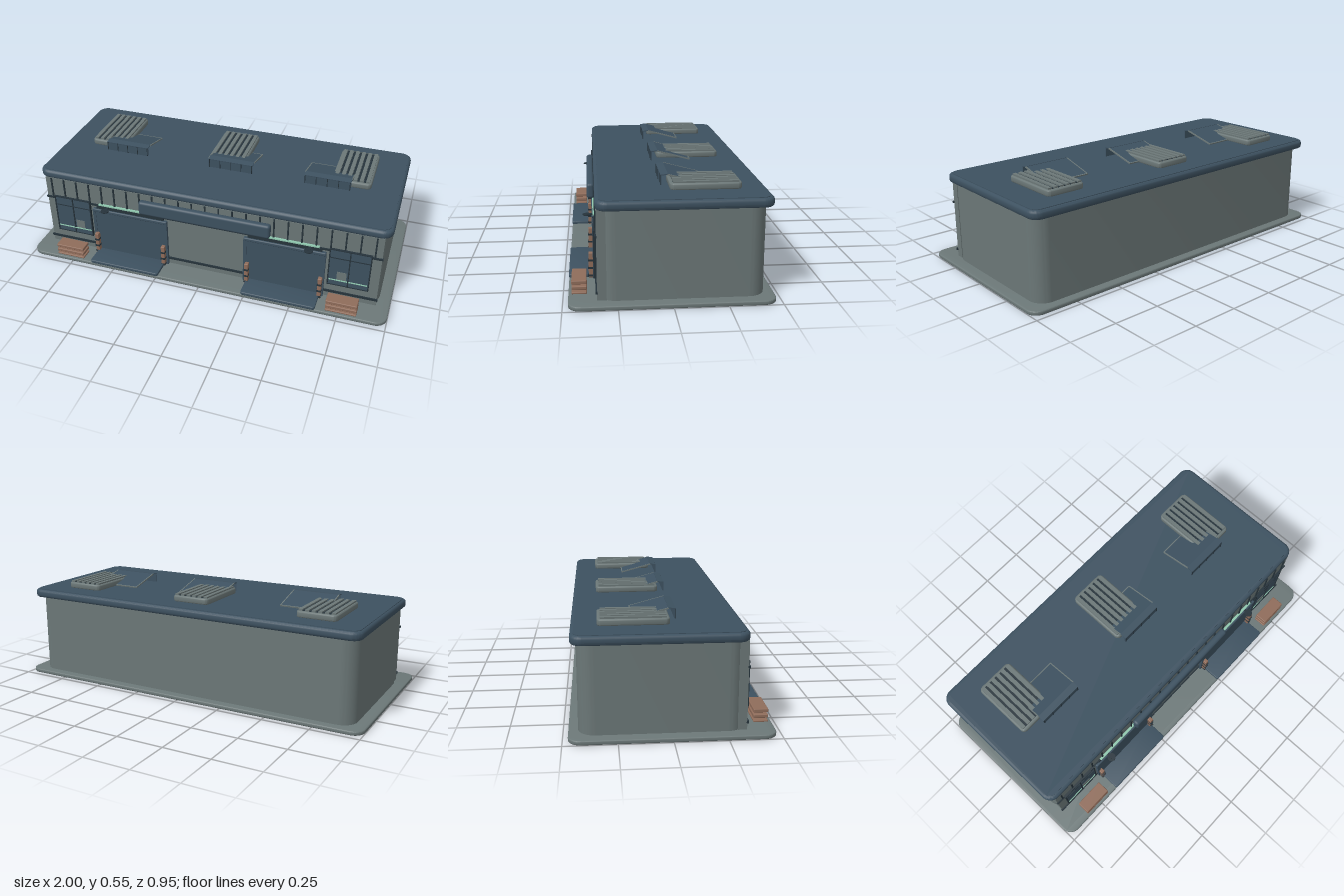
import * as THREE from 'three';
import { RoundedBoxGeometry } from 'three/addons/geometries/RoundedBoxGeometry.js';
import { toCreasedNormals } from 'three/addons/utils/BufferGeometryUtils.js';

const paint = (name, color, side = THREE.FrontSide) => {
  const m = new THREE.MeshStandardMaterial({ color, side });
  m.name = name;
  return m;
};

export function createModel() {
  const wall = paint('concrete grey', 0x6b7777);
  const navy = paint('slate blue', 0x3d5160);
  const dark = paint('dark trim', 0x26333b);
  const wood = paint('copper brown', 0x8f6c5a);
  const glow = paint('pale green light', 0x8fc7ae);
  const model = new THREE.Group();
  model.name = 'depot';

  const add = (parent, name, geometry, material, x, y, z) => {
    const mesh = new THREE.Mesh(geometry, material);
    mesh.name = name;
    mesh.position.set(x, y, z);
    parent.add(mesh);
    return mesh;
  };
  // Box given by its extents along x, y and z; r rounds the edges
  const span = (parent, name, material, [x0, x1], [y0, y1], [z0, z1], r = 0) => {
    const s = [x1 - x0, y1 - y0, z1 - z0];
    const g = r ? new RoundedBoxGeometry(...s, 3, r) : new THREE.BoxGeometry(...s);
    return add(parent, name, g, material, (x0 + x1) / 2, (y0 + y1) / 2, (z0 + z1) / 2);
  };
  // Slab with rounded corners in plan and bevelled rims
  const slab = (parent, name, material, [x0, x1], [y0, y1], [z0, z1], r, b) => {
    const w = (x1 - x0) / 2 - b, d = (z1 - z0) / 2 - b, c = r - b;
    const s = new THREE.Shape();
    s.moveTo(w, -d + c);
    s.absarc(w - c, d - c, c, 0, Math.PI / 2);
    s.absarc(-w + c, d - c, c, Math.PI / 2, Math.PI);
    s.absarc(-w + c, -d + c, c, Math.PI, Math.PI * 1.5);
    s.absarc(w - c, -d + c, c, Math.PI * 1.5, Math.PI * 2);
    const g = new THREE.ExtrudeGeometry(s, {
      depth: y1 - y0 - 2 * b, bevelEnabled: b > 0, bevelSize: b, bevelThickness: b,
      bevelSegments: 3, curveSegments: 8,
    });
    g.rotateX(-Math.PI / 2);
    return add(parent, name, toCreasedNormals(g, 0.7), material, (x0 + x1) / 2, y0 + b, (z0 + z1) / 2);
  };

  // Main masses
  slab(model, 'basePlate', wall, [-1, 1], [0, 0.021], [-0.475, 0.475], 0.06, 0.005);
  slab(model, 'body', wall, [-0.94, 0.94], [0.02, 0.455], [-0.43, 0.335], 0.08, 0);
  span(model, 'frontWall', wall, [-0.93, 0.93], [0.02, 0.447], [0.3, 0.343]);
  slab(model, 'roof', navy, [-0.965, 0.965], [0.445, 0.49], [-0.457, 0.347], 0.055, 0.015);
  slab(model, 'roofDeck', navy, [-0.95, 0.95], [0.489, 0.493], [-0.44, 0.33], 0.045, 0);

  // Front wall battens and rails
  for (let i = -12; i <= 12; i++) {
    const x = i * 0.0745;
    span(model, 'batten', dark, [x - 0.004, x + 0.004], [0.325, 0.446], [0.34, 0.349]);
  }
  span(model, 'upperRail', dark, [-0.935, 0.935], [0.318, 0.328], [0.34, 0.35]);
  span(model, 'lowerRail', dark, [-0.935, 0.935], [0.053, 0.065], [0.34, 0.35]);

  span(model, 'blankSign', navy, [-0.365, 0.36], [0.34, 0.42], [0.345, 0.384], 0.015);

  // The two ends of the front mirror each other
  for (const side of [-1, 1]) {
    const bay = new THREE.Group();
    bay.name = side < 0 ? 'rightBay' : 'leftBay';
    model.add(bay);
    const at = (a, b) => (side > 0 ? [a, b] : [-b, -a]);

    // Large door with frame, light strip and ramp
    span(bay, 'doorFrame', navy, at(0.215, 0.652), [0.285, 0.305], [0.335, 0.361], 0.006);
    span(bay, 'doorJamb', navy, at(0.215, 0.232), [0.02, 0.295], [0.335, 0.359]);
    span(bay, 'doorJamb', navy, at(0.635, 0.652), [0.02, 0.295], [0.335, 0.359]);
    span(bay, 'door', navy, at(0.23, 0.637), [0.02, 0.295], [0.335, 0.356]);
    span(bay, 'doorHeader', dark, at(0.235, 0.63), [0.304, 0.325], [0.335, 0.352]);
    span(bay, 'lightStrip', glow, at(0.27, 0.615), [0.328, 0.335], [0.342, 0.356]);
    slab(bay, 'ramp', navy, at(0.235, 0.635), [0.018, 0.037], [0.352, 0.477], 0.012, 0.004);

    // Lamp on a short arm above the door
    span(bay, 'lampArm', dark, at(0.558, 0.572), [0.317, 0.322], [0.345, 0.385]);
    add(bay, 'lampDisc', new THREE.CylinderGeometry(0.022, 0.022, 0.004, 20), dark, side * 0.565, 0.319, 0.382);

    // Door guard posts with dark bands
    for (const x of [0.238, 0.634]) {
      span(bay, 'guardPost', wood, at(x - 0.011, x + 0.011), [0.02, 0.148], [0.354, 0.38], 0.004);
      for (const y of [0.032, 0.07, 0.11]) {
        span(bay, 'postBand', dark, at(x - 0.012, x + 0.012), [y - 0.005, y + 0.005], [0.353, 0.383]);
      }
    }

    // Window with mullion, sill light and small panel
    span(bay, 'window', navy, at(0.668, 0.882), [0.112, 0.336], [0.335, 0.353]);
    for (const x of [0.67, 0.775, 0.88]) {
      span(bay, 'windowMullion', dark, at(x - 0.003, x + 0.003), [0.11, 0.337], [0.335, 0.357]);
    }
    for (const y of [0.113, 0.285, 0.335]) {
      span(bay, 'windowBar', dark, at(0.668, 0.882), [y - 0.002, y + 0.002], [0.335, 0.356]);
    }
    span(bay, 'sillLight', glow, at(0.675, 0.875), [0.143, 0.148], [0.35, 0.357]);
    const px = side < 0 ? -0.74 : 0.74;
    span(bay, 'windowPanel', wall, [px - 0.025, px + 0.025], [0.15, 0.2], [0.35, 0.355]);

    // Stacked slatted bench
    for (const [y0, y1] of [[0.019, 0.03], [0.04, 0.058], [0.068, 0.086]]) {
      span(bay, 'benchSlat', wood, at(0.685, 0.847), [y0, y1], [0.39, 0.46], 0.004);
    }
  }

  // Rooftop vents, each with a lean-to hood in front
  const units = [[-0.7, -0.57], [0, 0.04], [0.695, 0.575]];
  for (const [vx, hx] of units) {
    const unit = new THREE.Group();
    unit.name = 'rooftopUnit';
    model.add(unit);
    slab(unit, 'ventBox', wall, [vx - 0.105, vx + 0.105], [0.49, 0.524], [-0.335, 0], 0.025, 0.008);
    for (let i = -2; i <= 2; i++) {
      const x = vx + i * 0.034;
      span(unit, 'ventSlot', dark, [x - 0.006, x + 0.006], [0.52, 0.526], [-0.32, -0.015]);
    }
    for (let i = -2; i < 4; i++) {
      const x = vx + (i - 0.5) * 0.034;
      span(unit, 'ventRib', wall, [x - 0.01, x + 0.01], [0.52, 0.532], [-0.32, -0.015]);
    }

    // Hood: upright front pane and roof sloping down to the back
    span(unit, 'hoodFront', navy, [hx - 0.125, hx + 0.125], [0.49, 0.54], [0.03, 0.035]);
    for (let i = -2; i <= 2; i++) {
      const x = hx + i * 0.06;
      span(unit, 'hoodMullion', dark, [x - 0.002, x + 0.002], [0.49, 0.542], [0.034, 0.037]);
    }
    const lip = span(unit, 'hoodLip', navy, [hx - 0.125, hx + 0.125], [0.54, 0.545], [0, 0.036]);
    lip.rotation.x = 0.13;
    const slope = new THREE.Group();
    slope.name = 'hoodSlope';
    slope.position.set(hx, 0.521, -0.084);
    slope.rotation.x = -0.26;
    unit.add(slope);
    span(slope, 'hoodPanel', navy, [-0.123, 0.123], [-0.002, 0.002], [-0.09, 0.09]);
    for (const s of [-1, 1]) {
      span(slope, 'hoodEdge', wall, [s * 0.125 - 0.003, s * 0.125 + 0.003], [-0.004, 0.003], [-0.09, 0.09]);
    }
    span(slope, 'hoodBackEdge', wall, [-0.127, 0.127], [-0.004, 0.003], [-0.093, -0.087]);
  }
  return model;
}
